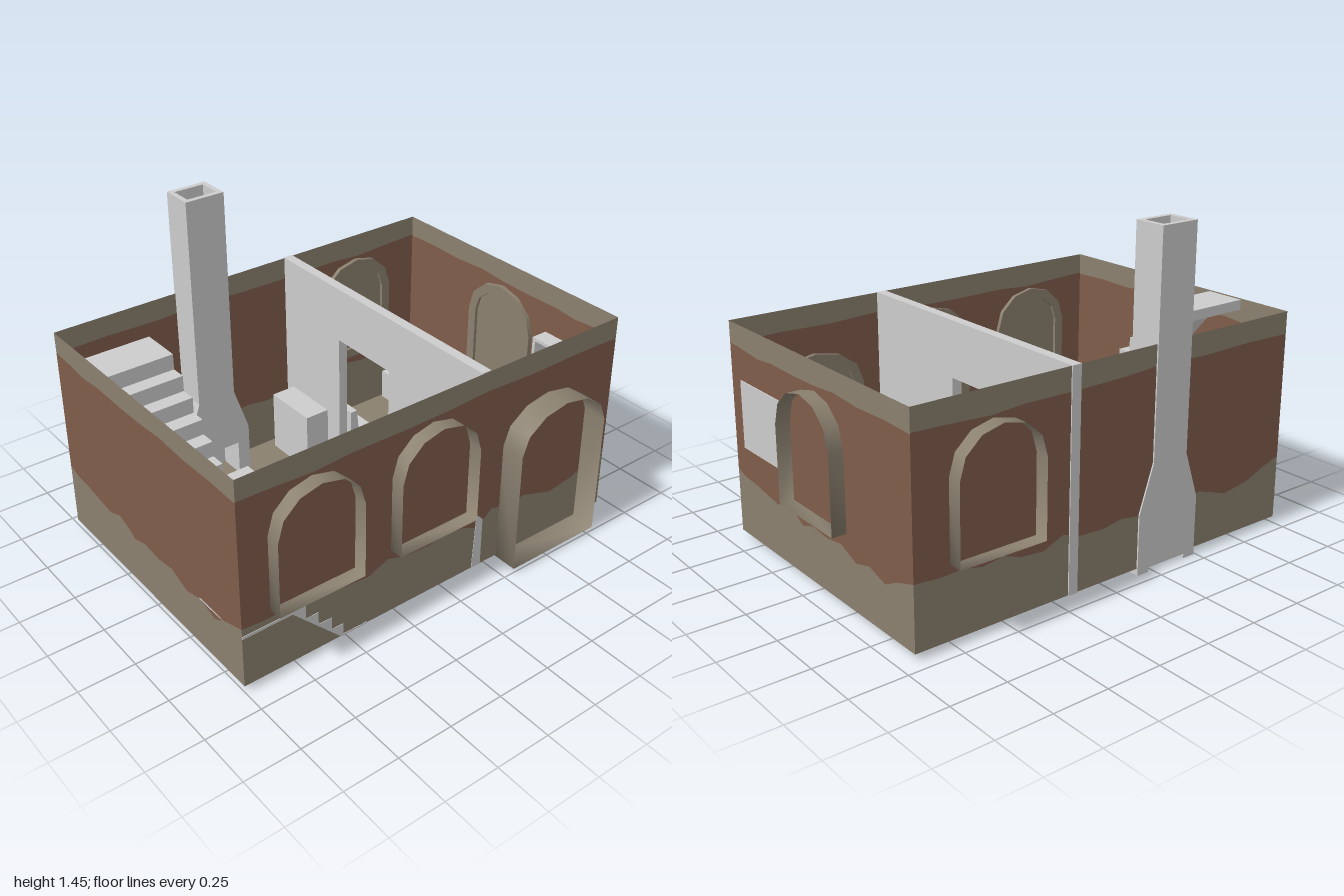
import * as THREE from 'three';

const mat = (name, color, side = THREE.FrontSide) => {
  const m = new THREE.MeshStandardMaterial({ color, side });
  m.name = name;
  return m;
};

export function createModel() {
  const plaster = mat('plaster', 0x8a806f, THREE.DoubleSide);
  const brick = mat('brick', 0x805c4b, THREE.DoubleSide);
  const white = mat('whitewash', 0xcccccc);
  const V2 = (p) => new THREE.Vector2(p[0], p[1]);
  const house = new THREE.Group();
  house.name = 'house';

  const add = (name, geo, material = white, parent = house) => {
    const m = new THREE.Mesh(geo, material);
    m.name = name;
    parent.add(m);
    return m;
  };
  // box given by its min and max corners
  const box = (name, x0, x1, y0, y1, z0, z1, parent = house, material = white) => {
    const m = add(name, new THREE.BoxGeometry(x1 - x0, y1 - y0, z1 - z0), material, parent);
    m.position.set((x0 + x1) / 2, (y0 + y1) / 2, (z0 + z1) / 2);
    return m;
  };
  const shapeOf = (pts) => new THREE.Shape(pts.map(V2));
  const extrude = (shape, depth) => new THREE.ExtrudeGeometry(shape, { depth, bevelEnabled: false });
  const group = (name, x, y, z, ry = 0) => {
    const g = new THREE.Group();
    g.name = name;
    g.position.set(x, y, z);
    g.rotation.y = ry;
    house.add(g);
    return g;
  };

  const X0 = -1, X1 = 0.93, Z0 = -0.69, Z1 = 0.64, Y0 = 0.03, Y1 = 0.98;

  // floor
  const floor = add('floor', new THREE.PlaneGeometry(X1 - X0, Z1 - Z0).rotateX(-Math.PI / 2), plaster);
  floor.position.set((X0 + X1) / 2, Y0, (Z0 + Z1) / 2);

  // thin walls: plaster foot, brick field with ragged edges, plaster top band
  const longEdge = [[0, .31], [.06, .3], [.11, .305], [.16, .285], [.21, .3], [.25, .27], [.31, .26], [.36, .3],
    [.41, .27], [.47, .265], [.52, .28], [.57, .265], [.61, .23], [.65, .295], [.7, .27], [.75, .28], [.83, .23],
    [.9, .25], [.95, .29], [1, .32]];
  const shortEdge = [[0, .32], [.05, .3], [.12, .295], [.2, .28], [.26, .27], [.32, .3], [.37, .28], [.41, .25],
    [.47, .275], [.55, .265], [.63, .28], [.71, .24], [.78, .265], [.86, .235], [.92, .275], [1, .31]];
  const topEdge = [[0, .885], [.08, .88], [.18, .87], [.26, .88], [.4, .877], [.52, .88], [.62, .89], [.75, .88],
    [.88, .885], [1, .88]];
  const wall = (name, len, edge, x, z, ry) => {
    const g = group(name, x, 0, z, ry);
    const sc = (e) => e.map(([u, y]) => [(u - 0.5) * len, y]);
    const low = sc(edge), top = sc(topEdge), h = len / 2;
    const flat = (n, pts, m) => add(n, new THREE.ShapeGeometry(shapeOf(pts)), m, g);
    flat('wallFoot', [[-h, Y0], [h, Y0], ...[...low].reverse()], plaster);
    flat('wallBrick', [...low, ...[...top].reverse()], brick);
    flat('wallTopBand', [...top, [h, Y1], [-h, Y1]], plaster);
  };
  const cx = (X0 + X1) / 2, cz = (Z0 + Z1) / 2;
  wall('frontWall', X1 - X0, longEdge, cx, Z1, 0);
  wall('backWall', X1 - X0, longEdge, cx, Z0, Math.PI);
  wall('leftWall', Z1 - Z0, shortEdge, X1, cz, Math.PI / 2);
  wall('rightWall', Z1 - Z0, shortEdge, X0, cz, -Math.PI / 2);

  // arched surrounds: open sleeve through the wall, inner frame and panel
  const arch = (name, w, bottom, spring, rise, out, x, z, ry) => {
    const g = group(name, x, 0, z, ry);
    const outline = (inset) => {
      const a = w - inset, pts = [[-a, bottom + inset]];
      for (let i = 0; i <= 6; i++) {
        const t = Math.PI * (1 - i / 6);
        pts.push([a * Math.cos(t), spring + (rise - inset) * Math.sin(t)]);
      }
      pts.push([a, bottom + inset]);
      return pts;
    };
    const pts = outline(0), pos = [], idx = [], n = pts.length;
    pts.forEach(([px, py], i) => {
      pos.push(px, py, -0.02, px, py, out);
      const a = 2 * i, c = 2 * ((i + 1) % n);
      idx.push(a, a + 1, c, c, a + 1, c + 1);
    });
    const sleeve = new THREE.BufferGeometry();
    sleeve.setAttribute('position', new THREE.Float32BufferAttribute(pos, 3));
    sleeve.setIndex(idx);
    sleeve.computeVertexNormals();
    add('archSleeve', sleeve, plaster, g);
    const ring = shapeOf(pts);
    ring.holes.push(new THREE.Path(outline(0.045).map(V2)));
    add('archFrame', extrude(ring, 0.015), plaster, g).position.z = -0.02;
    add('archPanel', new THREE.ShapeGeometry(shapeOf(pts)), plaster, g).position.z = -0.004;
  };
  const windowAt = (name, x, z, ry) => arch(name, 0.2, 0.34, 0.68, 0.18, 0.065, x, z, ry);
  windowAt('frontWindowOuter', -0.67, Z1, 0);
  windowAt('frontWindowInner', -0.09, Z1, 0);
  windowAt('sideWindow', X1, -0.042, Math.PI / 2);
  windowAt('backWindow', 0.57, Z0, Math.PI);
  arch('frontDoor', 0.24, 0.022, 0.59, 0.17, 0.112, 0.54, Z1, 0);

  // partition with a doorway, shape drawn along z
  const part = shapeOf([[-.695, Y0], [-.28, Y0], [-.28, .73], [.07, .73], [.07, Y0], [.638, Y0], [.638, Y1 + .002], [-.695, Y1 + .002]]);
  add('partition', extrude(part, 0.045).rotateY(-Math.PI / 2)).position.x = 0.205;
  add('partitionEnd', extrude(shapeOf([[.155, Y0], [.205, Y0], [.205, .265], [.17, .3]]), 0.006)).position.z = 0.636;

  // lower flight with landing
  const low = [[-1, .262], [-.77, .262], [-.54, .028], [-.41, .028], [-.41, .036], [-.53, .036], [-.53, .09],
    [-.585, .09], [-.585, .15], [-.65, .15], [-.65, .21], [-.71, .21], [-.71, .275], [-1, .275]];
  add('lowerStairs', extrude(shapeOf(low), 0.294)).position.z = 0.348;

  // upper flight along the side wall
  const up = [[.35, .262]], run = 0.066, rise = 0.07;
  for (let i = 0; i < 10; i++) up.push([.35 - i * run, .275 + i * rise], [.35 - i * run, .275 + (i + 1) * rise]);
  up.push([-.43, .975], [-.43, .93], [-.31, .93], [.28, .262]);
  add('upperStairs', extrude(shapeOf(up), 0.295).rotateY(-Math.PI / 2)).position.x = -0.703;

  // fireplace with tapered hood, hollow stack and hearth
  const hood = [[-.49, 0], [-.43, 0], [-.43, .2], [-.225, .2], [-.225, 0], [-.165, 0], [-.165, .27],
    [-.235, .48], [-.42, .48], [-.49, .27]];
  add('fireplace', extrude(shapeOf(hood), 0.147)).position.z = -0.697;
  box('fireplaceBack', -.43, -.225, .02, .2, -.697, -.675);
  box('hearth', -.47, -.18, .015, .05, -.55, -.49);
  const stack = shapeOf([[-.42, .55], [-.235, .55], [-.235, .697], [-.42, .697]]);
  stack.holes.push(new THREE.Path([[-.397, .573], [-.397, .674], [-.258, .674], [-.258, .573]].map(V2)));
  add('chimneyStack', extrude(stack, 0.97).rotateX(-Math.PI / 2)).position.y = 0.48;

  // rounded slab lying flat, tapering from w0 (at -x) to w1 (at +x)
  const slab = (name, len, w0, w1, r, thick, parent) => {
    const h = len / 2, a = w0 / 2, b = w1 / 2, s = new THREE.Shape();
    s.moveTo(-h + r, -a); s.lineTo(h - r, -b); s.quadraticCurveTo(h, -b, h, -b + r);
    s.lineTo(h, b - r); s.quadraticCurveTo(h, b, h - r, b);
    s.lineTo(-h + r, a); s.quadraticCurveTo(-h, a, -h, a - r);
    s.lineTo(-h, -a + r); s.quadraticCurveTo(-h, -a, -h + r, -a);
    return add(name, extrude(s, thick).rotateX(-Math.PI / 2), white, parent);
  };

  // table and two chairs
  const table = group('table', -0.33, Y0, -0.057);
  slab('tableTop', 0.22, 0.228, 0.228, 0.025, 0.018, table).position.y = 0.2;
  for (const x of [-1, 1]) for (const z of [-1, 1])
    box('tableLeg', x * .085 - .01, x * .085 + .01, 0, .2, z * .088 - .01, z * .088 + .01, table);
  for (const [x, ry] of [[-0.565, 0], [-0.1, Math.PI]]) {
    const chair = group('chair', x, Y0, -0.055, ry);
    slab('chairSeat', 0.145, 0.1, 0.135, 0.025, 0.014, chair).position.y = 0.12;
    for (const z of [-1, 1]) {
      box('chairFrontLeg', .04, .052, 0, .12, z * .045 - .006, z * .045 + .006, chair);
      box('chairBackPost', -.078, -.064, 0, .27, z * .046 - .007, z * .046 + .007, chair);
    }
    for (const y of [0.18, 0.235]) box('chairBackRail', -.075, -.066, y, y + .03, -.045, .045, chair);
  }

  // cabinets against the partition and under the side window
  box('cabinetBack', .04, .16, Y0, .32, -.64, -.37);
  box('cabinetFront', .04, .16, Y0, .32, .24, .62);
  box('sideChest', .745, .91, Y0, .25, -.24, .155);

  // two settles with leaning backs
  for (const [x, s] of [[0.21, 1], [0.915, -1]]) {
    const settle = group(s > 0 ? 'settleRight' : 'settleLeft', x, Y0, -0.27, s > 0 ? 0 : Math.PI);
    const z0 = s > 0 ? -0.41 : 0, z1 = s > 0 ? 0 : 0.41;
    box('settleSeat', .03, .172, 0, .15, z0, z1, settle);
    const back = [[.01, 0], [.06, .15], [.045, .3], [.01, .3]];
    add('settleBack', extrude(shapeOf(back), 0.41), white, settle).position.z = z0;
  }

  // open wall shelf
  const shelf = group('wallShelf', 0, 0, 0);
  box('shelfBack', .925, .935, .44, .74, .24, .56, shelf);
  for (const y of [.44, .582, .724]) box('shelfBoard', .85, .93, y, y + .016, .24, .56, shelf);
  for (const z of [.24, .392, .544]) box('shelfUpright', .85, .93, .44, .74, z, z + .016, shelf);

  // standing figure, hands on hips
  const man = group('figure', -0.68, Y0, -0.53, 0.3);
  const limb = (name, a, b, r0, r1) => {
    const A = new THREE.Vector3(...a), B = new THREE.Vector3(...b), d = B.clone().sub(A);
    const m = add(name, new THREE.CylinderGeometry(r1, r0, d.length(), 10), plaster, man);
    m.position.copy(A).addScaledVector(d, 0.5);
    m.quaternion.setFromUnitVectors(new THREE.Vector3(0, 1, 0), d.normalize());
  };
  const ball = (name, p, r, sx = 1, sy = 1, sz = 1) => {
    const m = add(name, new THREE.SphereGeometry(r, 12, 8), plaster, man);
    m.position.set(...p);
    m.scale.set(sx, sy, sz);
  };
  ball('head', [0, .475, .005], .032, .85, 1.1, 1);
  limb('neck', [0, .41, 0], [0, .45, 0], .016, .014);
  ball('chest', [0, .37, 0], .055, 1, 1, .65);
  limb('waist', [0, .25, 0], [0, .36, 0], .036, .042);
  ball('hips', [0, .25, 0], .045, 1, .8, .75);
  for (const s of [-1, 1]) {
    ball('shoulder', [s * .055, .4, 0], .021);
    limb('upperArm', [s * .058, .4, 0], [s * .087, .32, -.015], .018, .014);
    ball('elbow', [s * .087, .32, -.015], .015);
    limb('forearm', [s * .087, .32, -.015], [s * .045, .265, .022], .014, .011);
    ball('hand', [s * .045, .262, .022], .015);
    limb('thigh', [s * .022, .25, 0], [s * .03, .13, .004], .027, .02);
    limb('shin', [s * .03, .13, .004], [s * .033, .015, -.004], .02, .013);
    ball('foot', [s * .035, .014, .018], .018, .9, .75, 2);
  }
  return house;
}
